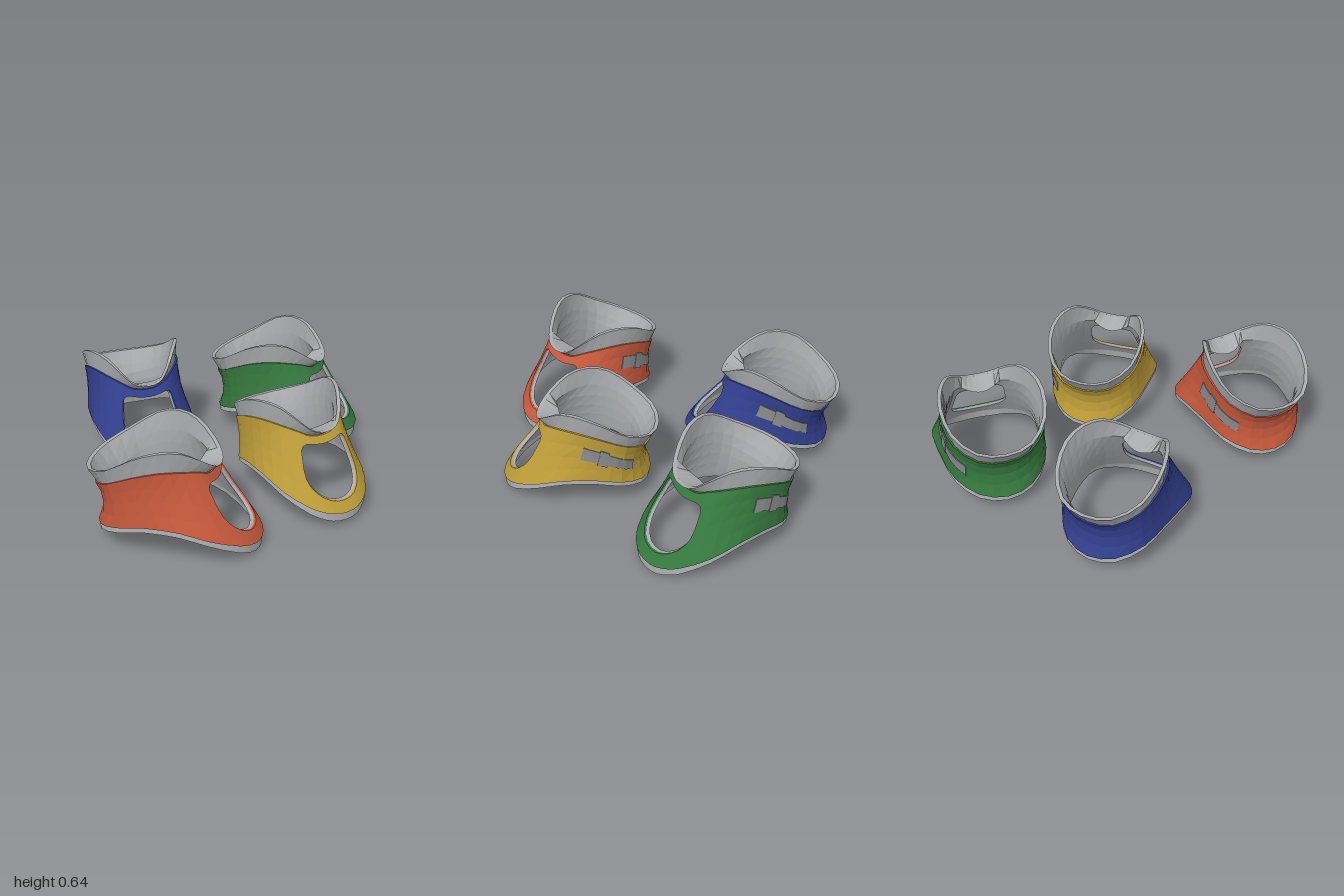
import * as THREE from 'three';

const V = (x, y, z) => new THREE.Vector3(x, y, z);
const material = (name, color) => {
  const m = new THREE.MeshStandardMaterial({ color });
  m.name = name;
  return m;
};

// Outline rings: half stations from front (0) to back (8), mirrored to a closed curve
const ring = (half) => {
  const pts = half.map((p) => V(...p));
  for (let i = 7; i > 0; i--) pts.push(V(-half[i][0], half[i][1], half[i][2]));
  const curve = new THREE.CatmullRomCurve3(pts, true, 'catmullrom', 0.5);
  return (s) => curve.getPoint((((s % 16) + 16) % 16) / 16);
};

const rim = ring([[0, .485, .25], [.08, .50, .235], [.145, .555, .18], [.21, .62, .085], [.265, .635, -.03],
  [.293, .60, -.16], [.265, .515, -.30], [.155, .455, -.425], [0, .44, -.465]]);
const bandTop = ring([[0, .45, .20], [.08, .46, .19], [.14, .49, .155], [.205, .515, .075], [.257, .525, -.03],
  [.275, .495, -.16], [.245, .435, -.285], [.14, .375, -.38], [0, .36, -.41]]);
const waist = ring([[0, .27, .32], [.09, .28, .305], [.165, .30, .255], [.23, .35, .14], [.265, .37, 0],
  [.27, .36, -.14], [.24, .315, -.26], [.135, .265, -.345], [0, .245, -.37]]);
const bandBottom = ring([[0, .065, .455], [.10, .075, .435], [.195, .11, .365], [.275, .17, .23], [.30, .22, .08],
  [.287, .22, -.10], [.25, .18, -.25], [.145, .13, -.365], [0, .11, -.405]]);
const hem = ring([[0, .015, .46], [.10, .025, .44], [.20, .07, .37], [.28, .14, .235], [.305, .19, .08],
  [.292, .19, -.10], [.255, .15, -.255], [.15, .10, -.37], [0, .08, -.41]]);

// Smooth wall through the bottom (v = 0), waist (v = .5) and top (v = 1) of the band
const wall = (s, v) => V(0, 0, 0)
  .addScaledVector(bandBottom(s), (1 - v) * (1 - 2 * v))
  .addScaledVector(waist(s), 4 * v * (1 - v))
  .addScaledVector(bandTop(s), v * (2 * v - 1));

const push = (p, d) => {
  const out = V(p.x, 0, p.z + .08).normalize();
  return p.clone().addScaledVector(out, d);
};

// Closed shell swept along the stations; path(s) lists points from bottom to top
function shell(stations, path, outer, inner, capped = false) {
  const pos = [];
  const quad = (a, b, c, d) => [a, b, c, a, c, d].forEach((p) => pos.push(p.x, p.y, p.z));
  const loops = stations.map((s) => {
    const p = path(s);
    return [...p.map((q) => push(q, outer)), ...p.map((q) => push(q, inner)).reverse()];
  });
  const n = loops[0].length;
  for (let k = 0; k + 1 < loops.length; k++) {
    for (let i = 0; i < n; i++) {
      const j = (i + 1) % n;
      quad(loops[k][i], loops[k + 1][i], loops[k + 1][j], loops[k][j]);
    }
  }
  if (capped) {
    const a = loops[0], b = loops[loops.length - 1];
    for (let i = 0; i + 1 < n / 2; i++) {
      quad(a[i], a[i + 1], a[n - 2 - i], a[n - 1 - i]);
      quad(b[i + 1], b[i], b[n - 1 - i], b[n - 2 - i]);
    }
  }
  const g = new THREE.BufferGeometry();
  g.setAttribute('position', new THREE.Float32BufferAttribute(pos, 3));
  g.computeVertexNormals();
  return g;
}

const range = (a, b, n) => Array.from({ length: n + 1 }, (_, i) => a + (b - a) * i / n);
const wallPath = (s, a, b, n) => range(a, b, n).map((v) => wall(s, v));

// Throat opening: rounded below, squarer above, between stations -2 and 2
const HALF = 2;
const bow = (s, p) => Math.pow(Math.max(0, 1 - Math.pow(Math.min(1, Math.abs(s / HALF)), p)), 1 / p);
const holeLow = (s) => .5 - .36 * bow(s, 2.5);
const holeHigh = (s) => .5 + .38 * bow(s, 5);
const around = range(HALF, 16 - HALF, 24);
const front = range(-1, 1, 14).map((t) => HALF * Math.sin(t * Math.PI / 2));

const liningGeometries = [
  shell(around, (s) => [hem(s), ...wallPath(s, 0, 1, 4), rim(s)], .002, -.02),
  shell(front, (s) => [hem(s), ...wallPath(s, 0, holeLow(s), 2)], .002, -.02),
  shell(front, (s) => [...wallPath(s, holeHigh(s), 1, 2), rim(s)], .002, -.02),
];
const bandGeometries = [
  shell(around, (s) => wallPath(s, 0, 1, 4), .013, 0),
  shell(front, (s) => wallPath(s, 0, holeLow(s), 2), .013, 0),
  shell(front, (s) => wallPath(s, holeHigh(s), 1, 2), .013, 0),
];

// Chin shelf: a crescent sloping inward from the front of the rim
const CHIN = 1.7;
const chinPath = (s) => {
  const reach = .055 * (1 - (s / CHIN) ** 2);
  return [push(bandTop(s), -.01 - reach), rim(s)];
};
const chinGeometries = [shell(range(-CHIN, CHIN, 8), chinPath, -.004, -.02, true)];

// Fastening strap on the left side, dropping toward the back
const strap = (a, b, halfWidth, lift) => shell(range(a, b, 6), (s) => {
  const mid = .62 - .07 * (s - 4);
  return wallPath(s, mid - halfWidth, mid + halfWidth, 2);
}, lift, .011, true);
const strapGeometries = [strap(4.2, 6.5, .13, .018), strap(4.9, 5.3, .18, .02)];

export function createModel() {
  const model = new THREE.Group();
  model.name = 'neckCollars';
  const lining = material('foam grey', 0xa9aaad);
  const strapGrey = material('strap grey', 0x88898b);

  const collars = [
    { name: 'redCollar', color: material('red', 0xc7593c), at: [-.455, 0, .64], yaw: 67, size: 1.03 },
    { name: 'yellowCollar', color: material('yellow', 0xbd9c38), at: [.33, .03, .305], yaw: 22, size: .985 },
    { name: 'greenCollar', color: material('green', 0x36793f), at: [.465, 0, -.605], yaw: 57, size: 1.03 },
    { name: 'blueCollar', color: material('blue', 0x323f8e), at: [-.5, .02, -.52], yaw: 8, size: 1 },
  ];

  for (const c of collars) {
    const collar = new THREE.Group();
    collar.name = c.name;
    const add = (name, geometries, mat) => geometries.forEach((g) => {
      const mesh = new THREE.Mesh(g, mat);
      mesh.name = name;
      collar.add(mesh);
    });
    add('foamLining', liningGeometries, lining);
    add('chinShelf', chinGeometries, lining);
    add('outerBand', bandGeometries, c.color);
    add('sideStrap', strapGeometries, strapGrey);
    collar.position.set(...c.at);
    collar.rotation.y = THREE.MathUtils.degToRad(c.yaw);
    collar.scale.setScalar(c.size);
    model.add(collar);
  }

  // Stand on the ground, centred
  const box = new THREE.Box3().setFromObject(model, true);
  const mid = box.getCenter(V(0, 0, 0));
  model.children.forEach((o) => o.position.sub(V(mid.x, box.min.y, mid.z)));
  return model;
}
